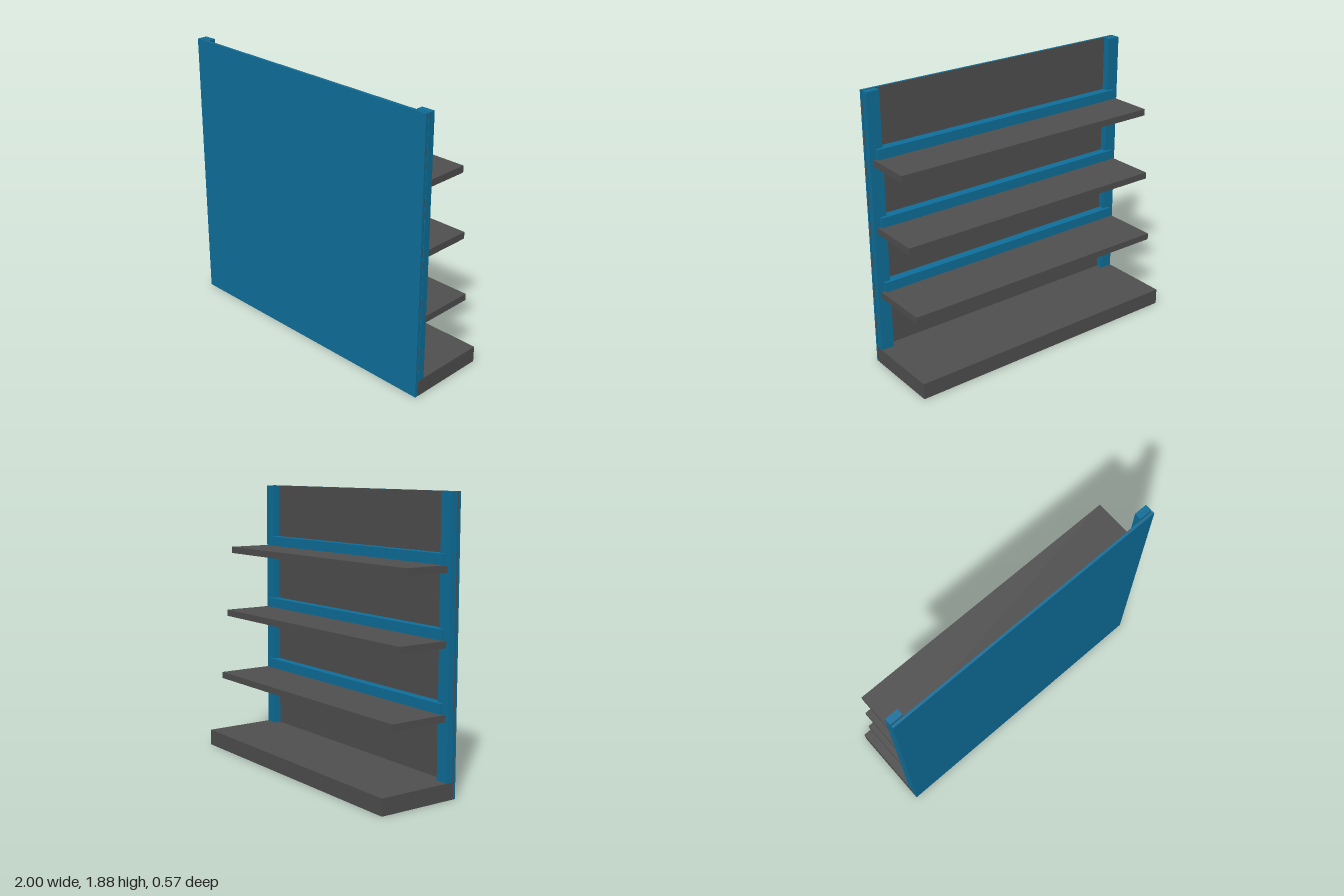
import * as THREE from 'three';

export function createModel() {
  const group = new THREE.Group();
  const blue = new THREE.MeshStandardMaterial({ color: 0x0e709c });
  const dark = new THREE.MeshStandardMaterial({ color: 0x505050 });

  // Box given by its extents on each axis
  function box(name, material, [x0, x1], [y0, y1], [z0, z1]) {
    const mesh = new THREE.Mesh(new THREE.BoxGeometry(x1 - x0, y1 - y0, z1 - z0), material);
    mesh.position.set((x0 + x1) / 2, (y0 + y1) / 2, (z0 + z1) / 2);
    mesh.name = name;
    group.add(mesh);
  }

  // Outer panel with a thin dark lining on the shelf side
  box('panel', blue, [-1, 1], [0, 1.876], [0.271, 0.287]);
  box('panelLining', dark, [-1, 1], [0, 1.876], [0.268, 0.271]);

  // Plinth
  box('base', dark, [-1, 1], [0, 0.11], [-0.287, 0.262]);

  // Uprights
  box('leftPost', blue, [0.91, 1], [0.11, 1.876], [0.215, 0.262]);
  box('rightPost', blue, [-1, -0.91], [0.11, 1.876], [0.215, 0.262]);

  // Shelves, shallower towards the top, each with a rail along its rear edge
  const shelves = [[0.534, -0.196], [0.988, -0.147], [1.442, -0.102]];
  for (const [top, edge] of shelves) {
    box('shelf', dark, [-0.975, 0.975], [top - 0.045, top], [edge, 0.215]);
    box('shelfRail', blue, [-0.955, 0.955], [top, top + 0.067], [0.194, 0.255]);
  }
  return group;
}
